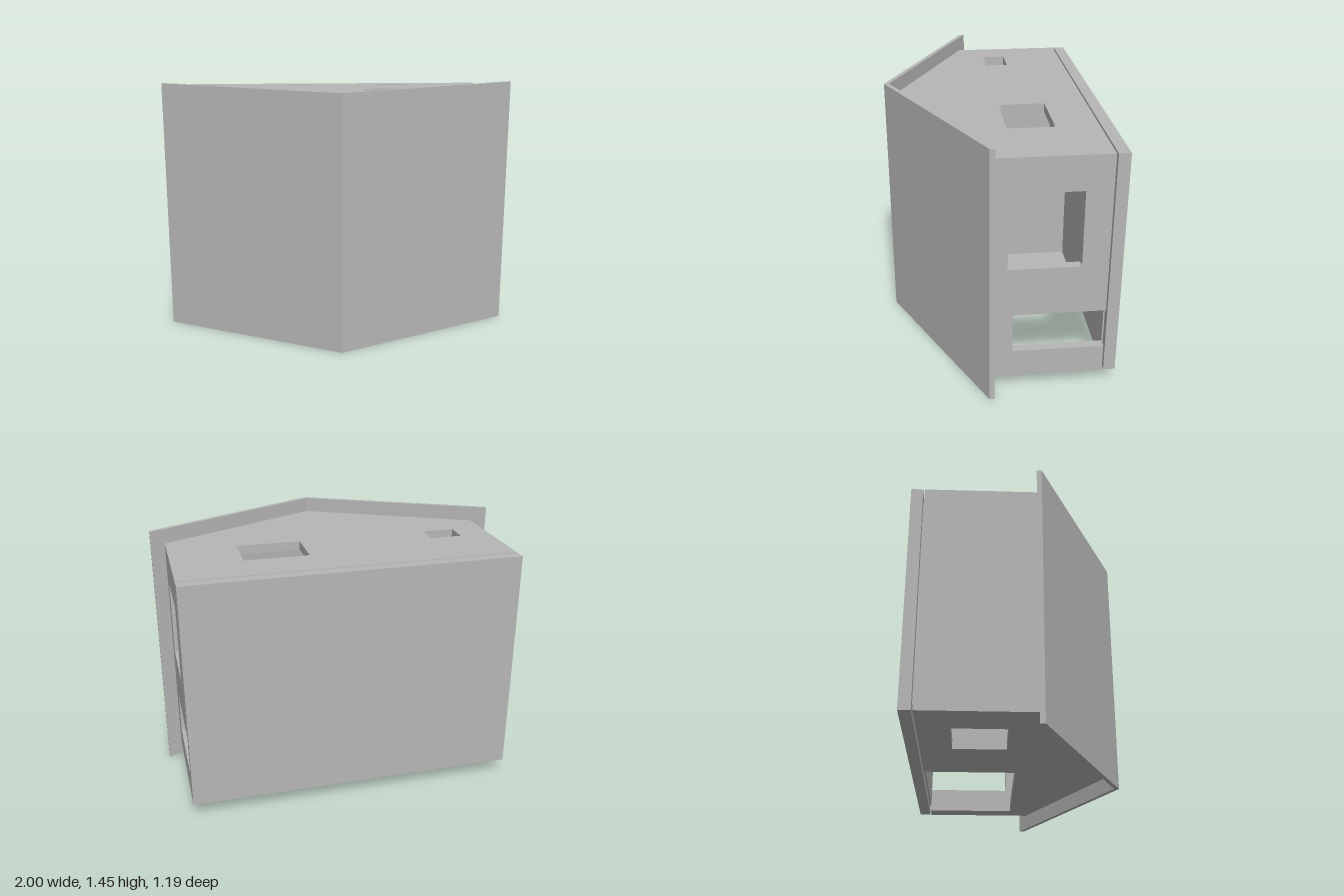
import * as THREE from 'three';

const grey = new THREE.MeshStandardMaterial({ color: 0xb6b6b6 });
grey.name = 'grey';

// closed outline from point pairs
const outline = (pts, Type = THREE.Shape) => new Type(pts.map(([a, b]) => new THREE.Vector2(a, b)));
const rect = (a0, a1, b0, b1) => outline([[a0, b0], [a0, b1], [a1, b1], [a1, b0]], THREE.Path);

function part(group, name, geometry) {
  const mesh = new THREE.Mesh(geometry, grey);
  mesh.name = name;
  group.add(mesh);
}

// horizontal slab: outline in (x, z), between heights y0 and y1
function slab(group, name, pts, y0, y1, holes = []) {
  const shape = outline(pts);
  shape.holes.push(...holes);
  const g = new THREE.ExtrudeGeometry(shape, { depth: y1 - y0, bevelEnabled: false });
  part(group, name, g.rotateX(Math.PI / 2).translate(0, y1, 0));
}

// upright wall: outline in (-z, y), between x0 and x1
function wall(group, name, pts, x0, x1, holes = []) {
  const shape = outline(pts);
  shape.holes.push(...holes);
  const g = new THREE.ExtrudeGeometry(shape, { depth: x1 - x0, bevelEnabled: false });
  part(group, name, g.rotateY(Math.PI / 2).translate(x0, 0, 0));
}

function box(group, name, x0, x1, y0, y1, z0, z1) {
  const g = new THREE.BoxGeometry(x1 - x0, y1 - y0, z1 - z0);
  part(group, name, g.translate((x0 + x1) / 2, (y0 + y1) / 2, (z0 + z1) / 2));
}

export function createModel() {
  const model = new THREE.Group();
  model.name = 'wedgeFrontHousing';

  const W = 0.92, T = 0.05, BACK = -0.522;
  const Y0 = 0.088, Y1 = 1.364, F0 = Y0 + T, F1 = Y1 - T;
  const NOSE = 0.566, SIDE = 0.11;

  // folded front panel
  slab(model, 'frontPanel',
    [[-1, 0.1], [0, 0.594], [1, 0.1], [1, 0.073], [0, NOSE], [-1, 0.073]], 0, 1.447);

  // roof with two openings
  slab(model, 'roof', [[-W, BACK], [W, BACK], [W, SIDE], [0, NOSE], [-W, SIDE]], F1, Y1,
    [rect(0.18, 0.54, -0.288, -0.034), rect(-0.742, -0.56, -0.166, -0.034)]);

  // floor with a notch open to the back and a square opening
  slab(model, 'floor',
    [[-W, BACK], [0, BACK], [0, 0], [0.81, 0], [0.81, BACK], [W, BACK], [W, SIDE], [0, NOSE], [-W, SIDE]],
    Y0, F0, [rect(-0.69, -0.39, -0.35, -0.06)]);

  // left wall with a window and a slot open to the back
  wall(model, 'leftWall',
    [[-0.115, F0], [-BACK, F0], [-BACK, 0.245], [0.03, 0.245], [0.03, 0.472], [-BACK, 0.472], [-BACK, F1], [-0.115, F1]],
    W - T, W, [rect(0, 0.381, 0.747, 1.172)]);

  // plain right wall
  box(model, 'rightWall', -W, -W + T, F0, F1, BACK, 0.115);

  // inner divider with an opening, and a shelf beside it
  wall(model, 'divider', [[-0.1, F0], [-BACK, F0], [-BACK, F1], [-0.1, F1]],
    -0.34, -0.29, [rect(0.057, 0.42, 0.886, 1.07)]);
  box(model, 'shelf', -W + T, -0.34, 0.72, 0.76, BACK, 0.1);

  // back lid and its raised lip
  box(model, 'backLid', -W, W, Y0, Y1, -0.594, -0.53);
  box(model, 'lidLip', -W + T, W - T, F0, F1, -0.53, BACK);

  return model;
}
